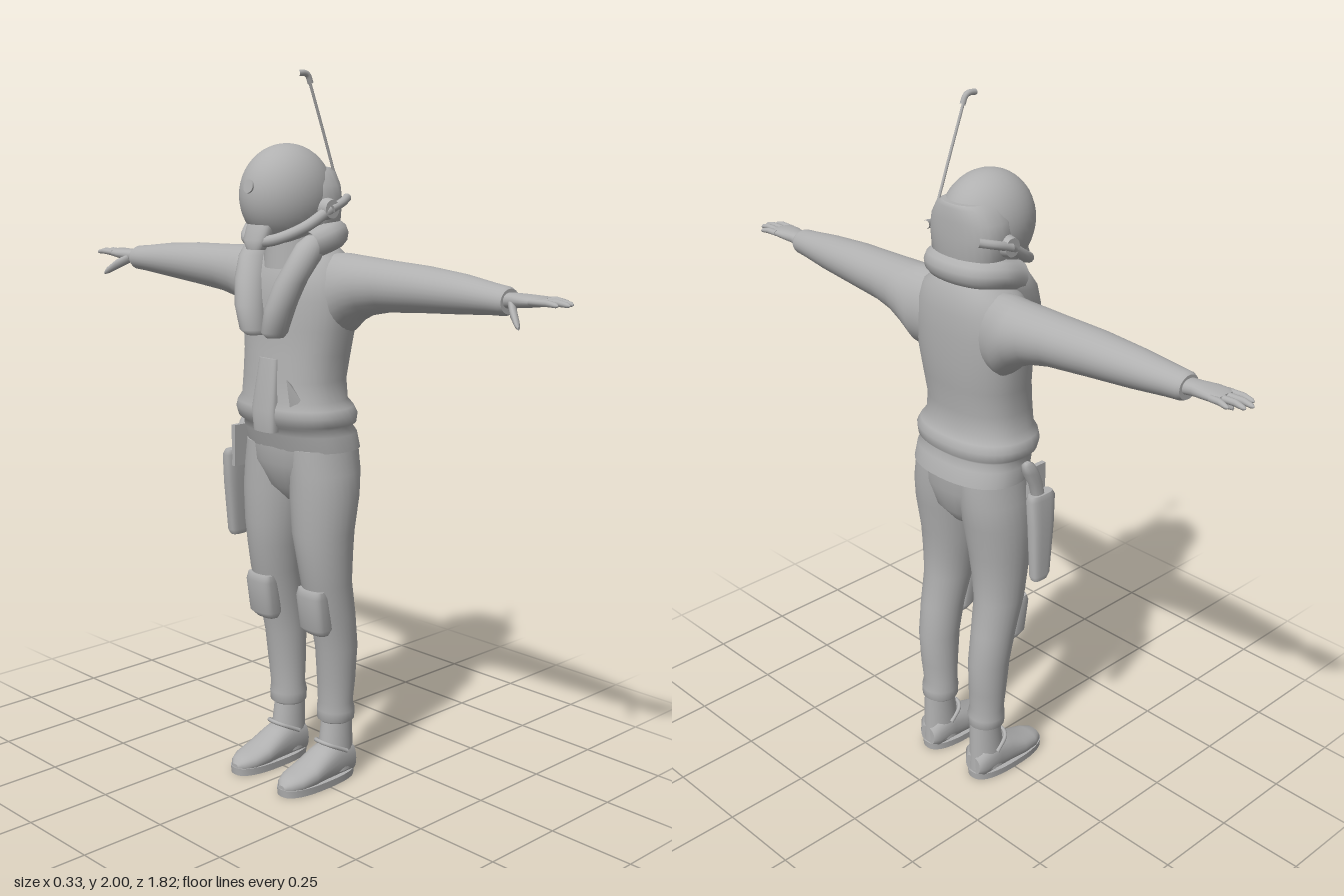
import * as THREE from 'three';

const grey = new THREE.MeshStandardMaterial({ color: 0xb0b0b0 });
grey.name = 'plain grey';
const V = (x, y, z) => new THREE.Vector3(x, y, z);

// Closed skin through elliptical sections [position on axis, centreA, centreB, radiusA, radiusB].
// axis y: A = x, B = z.  axis z: A = x, B = y.  axis x: A = y, B = z.  power > 2 squares the section.
function loft(axis, rows, power = 2, sides = 28) {
  const place = { y: (t, a, b) => [a, t, b], z: (t, a, b) => [a, b, t], x: (t, a, b) => [t, a, b] }[axis];
  const bend = (v) => Math.sign(v) * Math.abs(v) ** (2 / power);
  const pos = [], idx = [];
  const ring = ([t, a, b, ra, rb]) => {
    const start = pos.length / 3;
    for (let i = 0; i < sides; i++) {
      const w = (i / sides) * Math.PI * 2;
      pos.push(...place(t, a + ra * bend(Math.cos(w)), b + rb * bend(Math.sin(w))));
    }
    return start;
  };
  const rings = rows.map(ring);
  for (let r = 0; r + 1 < rings.length; r++) {
    for (let i = 0; i < sides; i++) {
      const j = (i + 1) % sides, p = rings[r], q = rings[r + 1];
      idx.push(p + i, q + i, q + j, p + i, q + j, p + j);
    }
  }
  // end caps with their own vertices
  [rows[0], rows[rows.length - 1]].forEach((row, end) => {
    const s = ring(row), c = pos.length / 3;
    pos.push(...place(row[0], row[1], row[2]));
    for (let i = 0; i < sides; i++) {
      const j = (i + 1) % sides;
      idx.push(c, s + (end ? j : i), s + (end ? i : j));
    }
  });
  // turn the faces outward whichever way the sections run
  let volume = 0;
  const P = (i) => V(pos[i * 3], pos[i * 3 + 1], pos[i * 3 + 2]);
  const o = P(0);
  for (let i = 0; i < idx.length; i += 3) {
    volume += P(idx[i]).sub(o).dot(P(idx[i + 1]).sub(o).cross(P(idx[i + 2]).sub(o)));
  }
  if (volume < 0) idx.reverse();
  const g = new THREE.BufferGeometry();
  g.setAttribute('position', new THREE.Float32BufferAttribute(pos, 3));
  g.setIndex(idx);
  g.computeVertexNormals();
  return g;
}

const tube = (pts, r, n = 40) =>
  new THREE.TubeGeometry(new THREE.CatmullRomCurve3(pts.map((p) => V(...p))), n, r, 12);
const ball = (r, x, y, z, sx = 1, sy = 1, sz = 1) =>
  new THREE.SphereGeometry(r, 36, 24).scale(sx, sy, sz).translate(x, y, z);
const box = (w, h, d, x, y, z) => new THREE.BoxGeometry(w, h, d).translate(x, y, z);

export function createModel() {
  const model = new THREE.Group();
  model.name = 'pilotFigure';
  const add = (name, geometry) => {
    const m = new THREE.Mesh(geometry, grey);
    m.name = name;
    model.add(m);
    return m;
  };

  // Jacket with gathered waistband and shirt hem; the figure faces -x
  add('jacket', loft('y', [
    [0.985, 0.035, 0, 0.12, 0.178], [1.03, 0.022, 0, 0.122, 0.177], [1.05, 0.012, 0, 0.118, 0.17],
    [1.06, 0.01, 0, 0.13, 0.182], [1.085, 0.007, 0, 0.135, 0.187], [1.105, 0.003, 0, 0.13, 0.178],
    [1.125, 0, 0, 0.117, 0.163], [1.18, 0, 0, 0.115, 0.157], [1.25, 0.01, 0, 0.115, 0.164],
    [1.32, 0.016, 0, 0.116, 0.176], [1.4, 0.018, 0, 0.116, 0.186], [1.46, 0.022, 0, 0.11, 0.175],
    [1.51, 0.028, 0, 0.095, 0.145], [1.54, 0.03, 0, 0.075, 0.1],
  ], 2.3, 40));
  add('jacketFrontFlap', loft('y', [
    [1.04, -0.115, 0.01, 0.02, 0.04], [1.1, -0.117, 0.01, 0.022, 0.045], [1.24, -0.1, 0.01, 0.015, 0.035],
  ], 3));
  const tab = add('frontTab', new THREE.ConeGeometry(0.035, 0.1, 4));
  tab.position.set(-0.095, 1.15, 0.095);
  tab.rotation.z = 0.5;
  add('hips', loft('y', [
    [0.825, 0.035, 0, 0.05, 0.04], [0.87, 0.032, 0, 0.09, 0.11],
    [0.94, 0.028, 0, 0.112, 0.165], [1.0, 0.028, 0, 0.115, 0.173],
  ], 2.2));
  add('neck', new THREE.CylinderGeometry(0.075, 0.085, 0.14, 28).translate(0, 1.55, 0));

  for (const s of [1, -1]) {
    // Sleeve
    add('sleeve', loft('z', [
      [0.1, 0.035, 1.41, 0.075, 0.11], [0.16, 0.043, 1.415, 0.085, 0.11], [0.2, 0.045, 1.432, 0.083, 0.09],
      [0.25, 0.043, 1.443, 0.077, 0.077], [0.32, 0.04, 1.449, 0.071, 0.068], [0.45, 0.036, 1.453, 0.066, 0.06],
      [0.58, 0.032, 1.453, 0.056, 0.05], [0.68, 0.026, 1.451, 0.045, 0.039], [0.72, 0.024, 1.45, 0.041, 0.036],
      [0.73, 0.024, 1.45, 0.036, 0.031],
    ].map(([z, ...r]) => [s * z, ...r])));

    // Hand with four fingers and a thumb
    add('palm', loft('z', [
      [0.72, 0.024, 1.452, 0.026, 0.02], [0.755, 0.022, 1.455, 0.028, 0.018], [0.79, 0.02, 1.457, 0.037, 0.016],
      [0.825, 0.022, 1.459, 0.039, 0.013], [0.838, 0.024, 1.459, 0.034, 0.009],
    ].map(([z, ...r]) => [s * z, ...r]), 2.3, 20));
    [[-0.008, -0.006, 0.895], [0.013, 0.017, 0.912], [0.033, 0.039, 0.905], [0.052, 0.063, 0.875]].forEach(([a, b, tip]) =>
      add('finger', loft('z', [
        [s * 0.815, a, 1.459, 0.0095, 0.009], [s * (tip - 0.03), (a + b) / 2, 1.461, 0.009, 0.0085],
        [s * (tip - 0.006), b, 1.458, 0.007, 0.006], [s * tip, b, 1.457, 0.002, 0.002],
      ], 2, 12)));
    add('thumb', loft('z', [
      [s * 0.745, 0.01, 1.449, 0.014, 0.014], [s * 0.775, -0.018, 1.43, 0.014, 0.015],
      [s * 0.803, -0.038, 1.408, 0.01, 0.01], [s * 0.812, -0.043, 1.4, 0.004, 0.004],
    ], 2, 12));

    // Trouser leg with cuff
    add('trouserLeg', loft('y', [
      [0.175, 0.07, 0.098, 0.045, 0.045], [0.182, 0.07, 0.1, 0.054, 0.053], [0.21, 0.07, 0.1, 0.055, 0.055],
      [0.235, 0.068, 0.1, 0.05, 0.051], [0.3, 0.068, 0.103, 0.056, 0.054], [0.4, 0.065, 0.106, 0.064, 0.057],
      [0.5, 0.048, 0.107, 0.068, 0.062], [0.6, 0.025, 0.105, 0.075, 0.069], [0.68, 0.02, 0.102, 0.083, 0.077],
      [0.75, 0.018, 0.098, 0.091, 0.085], [0.85, 0.025, 0.096, 0.101, 0.094], [0.92, 0.03, 0.092, 0.107, 0.09],
      [0.99, 0.03, 0.085, 0.107, 0.085],
    ].map(([y, x, z, ...r]) => [y, x, s * z, ...r])));
    add('kneePad', loft('y', [
      [0.455, -0.008, s * 0.105, 0.02, 0.035], [0.475, -0.015, s * 0.105, 0.034, 0.047],
      [0.57, -0.03, s * 0.105, 0.03, 0.05], [0.59, -0.033, s * 0.105, 0.018, 0.046],
    ], 3));

    // Boot
    add('bootSole', loft('y', [[0, -0.008, s * 0.1, 0.136, 0.053], [0.022, -0.008, s * 0.1, 0.138, 0.055]], 2.5, 36));
    add('bootFoot', loft('x', [
      [0.125, 0.045, s * 0.1, 0.03, 0.03], [0.11, 0.055, s * 0.1, 0.05, 0.046], [0.05, 0.062, s * 0.1, 0.06, 0.048],
      [0, 0.053, s * 0.1, 0.048, 0.05], [-0.05, 0.04, s * 0.1, 0.034, 0.052], [-0.1, 0.032, s * 0.1, 0.027, 0.046],
      [-0.13, 0.028, s * 0.1, 0.02, 0.03], [-0.143, 0.024, s * 0.1, 0.008, 0.012],
    ], 2.3));
    add('bootShaft', loft('y', [
      [0.03, 0.065, s * 0.1, 0.063, 0.046], [0.1, 0.07, s * 0.1, 0.055, 0.043], [0.185, 0.075, s * 0.099, 0.047, 0.041],
    ]));
    add('bootStrap', tube([
      [0.07, 0.09, s * 0.1 - 0.048], [0.02, 0.115, s * 0.1 - 0.03], [0.008, 0.121, s * 0.1],
      [0.02, 0.115, s * 0.1 + 0.03], [0.07, 0.09, s * 0.1 + 0.048],
    ], 0.006));

    // Inflated vest lobe running from the nape down the chest
    add('vestLobe', loft('y', [
      [1.3, -0.105, s * 0.04, 0.03, 0.022], [1.315, -0.111, s * 0.043, 0.042, 0.034],
      [1.38, -0.107, s * 0.06, 0.046, 0.041], [1.45, -0.087, s * 0.08, 0.047, 0.043],
      [1.51, -0.055, s * 0.097, 0.05, 0.04], [1.55, -0.03, s * 0.098, 0.045, 0.034], [1.57, -0.01, s * 0.095, 0.03, 0.02],
    ]));

    // Helmet earpiece
    const ear = add('earpiece', new THREE.CylinderGeometry(0.025, 0.032, 0.03, 24));
    ear.rotation.x = (s * Math.PI) / 2;
    ear.position.set(0.012, 1.64, s * 0.12);
    add('earArm', tube([[0.1, 1.665, s * 0.1], [0.06, 1.655, s * 0.122], [0.012, 1.64, s * 0.13]], 0.012, 16));
  }

  // Collar behind the neck
  add('vestCollar', tube([
    [-0.04, 1.545, 0.1], [0.03, 1.565, 0.103], [0.075, 1.57, 0.075], [0.09, 1.57, 0],
    [0.075, 1.57, -0.075], [0.03, 1.565, -0.103], [-0.04, 1.545, -0.1],
  ], 0.04));

  // Helmet
  add('helmetDome', ball(1, -0.03, 1.673, 0, 0.137, 0.137, 0.114));
  add('helmetRearShell', loft('y', [
    [1.595, 0.03, 0, 0.072, 0.1], [1.605, 0.03, 0, 0.078, 0.115], [1.66, 0.03, 0, 0.08, 0.12],
    [1.7, 0.03, 0, 0.079, 0.113], [1.735, 0.03, 0, 0.077, 0.09], [1.745, 0.03, 0, 0.07, 0.07],
  ], 2.4));
  add('chinBoom', tube([
    [0.012, 1.64, 0.125], [-0.06, 1.595, 0.105], [-0.125, 1.562, 0.055], [-0.143, 1.556, 0],
    [-0.125, 1.562, -0.055], [-0.06, 1.595, -0.105], [0.012, 1.64, -0.125],
  ], 0.015));
  add('chinPiece', loft('y', [
    [1.535, -0.14, 0, 0.02, 0.028], [1.56, -0.137, 0, 0.026, 0.042], [1.6, -0.12, 0, 0.026, 0.045],
  ], 2.5));
  const knob = add('browKnob', new THREE.CylinderGeometry(0.018, 0.018, 0.012, 24));
  knob.rotation.z = Math.PI / 2 - 0.2;
  knob.position.set(-0.161, 1.7, 0);

  // Antenna with bent tip
  add('antennaRod', tube([[0.088, 1.71, 0.07], [0.035, 1.85, 0.07], [-0.018, 1.985, 0.07]], 0.004, 8));
  add('antennaTip', tube([[-0.008, 1.965, 0.07], [-0.018, 1.985, 0.07], [-0.03, 1.991, 0.07], [-0.053, 1.99, 0.07]], 0.008, 12));

  // Holster, sidearm and hanger on the right hip
  add('holster', loft('y', [
    [0.685, -0.02, -0.218, 0.025, 0.014], [0.7, -0.022, -0.217, 0.032, 0.018], [0.85, -0.032, -0.209, 0.042, 0.022],
    [0.93, -0.036, -0.203, 0.047, 0.022], [0.945, -0.036, -0.202, 0.04, 0.018],
  ], 3));
  add('sidearmGrip', loft('y', [
    [0.93, -0.03, -0.2, 0.02, 0.015], [0.98, -0.02, -0.197, 0.021, 0.016],
    [1.02, 0, -0.197, 0.024, 0.019], [1.045, 0.01, -0.197, 0.018, 0.013], [1.052, 0.012, -0.197, 0.007, 0.006],
  ], 2.5, 16));
  add('holsterHanger', box(0.06, 0.12, 0.014, -0.04, 0.96, -0.18));

  return model;
}
